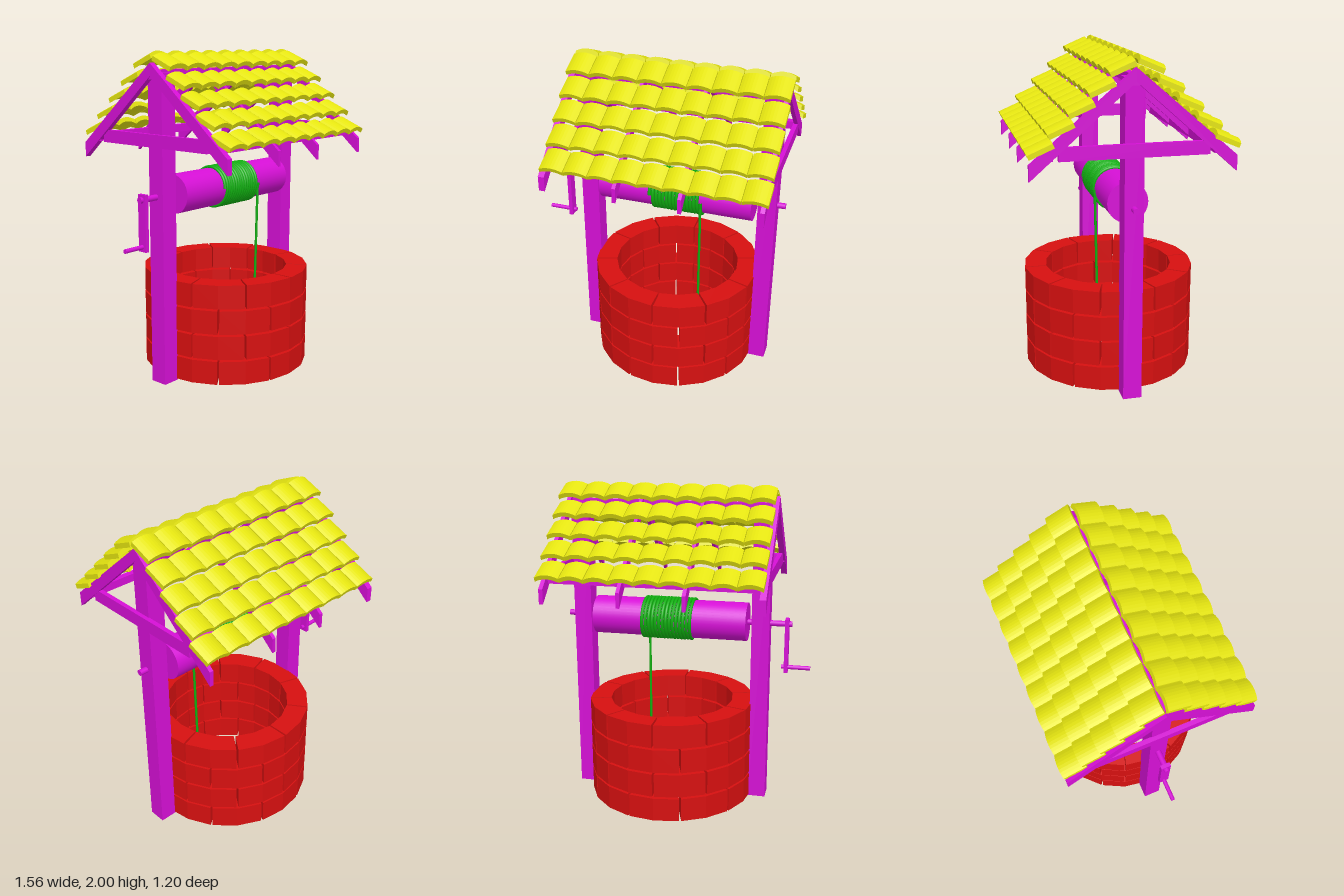
import * as THREE from 'three';

const mat = (color, flatShading = false) => new THREE.MeshStandardMaterial({ color, flatShading });
const wood = mat(0xd610d6, true);
const woodRound = mat(0xd610d6);
const brickMat = mat(0xd61010, true);
const tileMat = mat(0xe4e410, true);
const ropeMat = mat(0x10b010);

const CX = 0.1; // centre of the well and frame along x

export function createModel() {
  const root = new THREE.Group();

  const add = (name, geometry, material, x = 0, y = 0, z = 0, parent = root) => {
    const mesh = new THREE.Mesh(geometry, material);
    mesh.name = name;
    mesh.position.set(x, y, z);
    parent.add(mesh);
    return mesh;
  };
  // box given by its limits
  const box = (name, x0, x1, y0, y1, z0, z1) =>
    add(name, new THREE.BoxGeometry(x1 - x0, y1 - y0, z1 - z0), wood,
      (x0 + x1) / 2, (y0 + y1) / 2, (z0 + z1) / 2);
  // round bar along x
  const bar = (name, x0, x1, y, r, sides) =>
    add(name, new THREE.CylinderGeometry(r, r, x1 - x0, sides).rotateZ(Math.PI / 2), woodRound, (x0 + x1) / 2, y, 0);
  const extrude = (pts, depth) =>
    new THREE.ExtrudeGeometry(new THREE.Shape(pts.map(p => new THREE.Vector2(...p))), { depth, bevelEnabled: false });

  // Brick ring: four courses of ten bricks, alternate courses shifted by half a brick
  const step = Math.PI / 5, gap = 0.012;
  const ring = (r, angles) => angles.map(a => [r * Math.cos(a), r * Math.sin(a)]);
  const angles = [gap, step / 2, step - gap];
  const brickGeo = extrude([...ring(0.528, angles), ...ring(0.395, [...angles].reverse())], 0.147).rotateX(-Math.PI / 2);
  const wall = new THREE.Group();
  wall.name = 'brickWall';
  wall.position.x = CX;
  root.add(wall);
  for (let c = 0; c < 4; c++) {
    for (let i = 0; i < 10; i++) {
      add('brick', brickGeo, brickMat, 0, 0.008 + c * 0.16, 0, wall).rotation.y =
        Math.PI / 2 + (i + (c % 2 ? 0 : 0.5)) * step;
    }
  }

  // Posts and tie beams
  for (const s of [-1, 1]) {
    const x = CX + s * 0.57;
    box('post', x - 0.055, x + 0.055, 0, 1.88, -0.055, 0.055);
    const tx = CX + s * 0.635;
    box('tieBeam', tx - 0.014, tx + 0.014, 1.452, 1.528, -0.42, 0.42);
  }

  // Rafter pairs with plumb-cut ends
  const half = [[0.58, 1.44], [0.58, 1.35]];
  const rafterPts = [[0, 1.935], [-0.58, 1.44], [-0.58, 1.35], [0, 1.86], ...half.reverse()];
  for (const [x0, x1] of [[-0.562, -0.525], [-0.115, -0.093], [0.268, 0.29], [0.725, 0.75]]) {
    add('rafterPair', extrude(rafterPts, x1 - x0).rotateY(Math.PI / 2), wood, x0, 0, 0);
  }

  // Ridge beam and eave purlins
  box('ridgeBeam', -0.555, 0.745, 1.84, 1.895, -0.02, 0.02);
  for (const z of [-0.47, 0.47]) box('purlin', -0.555, 0.745, 1.455, 1.505, z - 0.02, z + 0.02);

  // Roof tiles: arched section, five overlapping rows of nine on each slope
  const w = 0.1467, N = 8, arch = [];
  for (let i = 0; i <= N; i++) {
    const u = i / N * 2 - 1;
    arch.push([u * (w / 2 - 0.002), 0.02 * (1 - u * u)]);
  }
  const L = 0.15;
  const tileGeo = extrude([...arch.map(([x, y]) => [x, y - 0.024]),
    ...[...arch].reverse().map(([x, y]) => [x, y + 0.004])], L).translate(0, 0, -L / 2);
  for (const s of [0, 1]) {
    const slope = new THREE.Group();
    slope.name = s ? 'backRoofTiles' : 'frontRoofTiles';
    slope.position.set(0.11, s * 0.01, 0);
    slope.rotation.y = s * Math.PI;
    root.add(slope);
    for (let r = 0; r < 5; r++) {
      for (let c = 0; c < 9; c++) {
        add('roofTile', tileGeo, tileMat, (c - 4) * w, 1.94 - r * 0.104, 0.08 + r * 0.11, slope).rotation.x = 0.4;
      }
    }
  }

  // Winding drum, axle and crank
  const axleY = 1.158;
  bar('drum', -0.385, 0.587, axleY, 0.12, 40);
  bar('axle', -0.66, 0.775, axleY, 0.018, 16);
  box('crankArm', -0.642, -0.618, 0.85, 1.19, -0.03, 0.03);
  bar('crankHandle', -0.78, -0.6, 0.88, 0.013, 16);

  // Rope: tight coil on the drum, then a hanging end
  const turns = 15, coil = [];
  for (let i = 0; i <= turns * 24; i++) {
    const a = i / 24 * Math.PI * 2;
    coil.push(new THREE.Vector3(-0.05 + 0.326 * i / (turns * 24), axleY + 0.125 * Math.sin(a), 0.125 * Math.cos(a)));
  }
  add('ropeCoil', new THREE.TubeGeometry(new THREE.CatmullRomCurve3(coil), turns * 32, 0.0105, 8), ropeMat);
  const hang = new THREE.LineCurve3(new THREE.Vector3(0.276, axleY, 0.122), new THREE.Vector3(0.272, 0.32, 0.105));
  add('hangingRope', new THREE.TubeGeometry(hang, 1, 0.008, 8), ropeMat);
  add('ropeEnd', new THREE.SphereGeometry(0.008, 8, 6), ropeMat, 0.272, 0.32, 0.105);

  return root;
}
